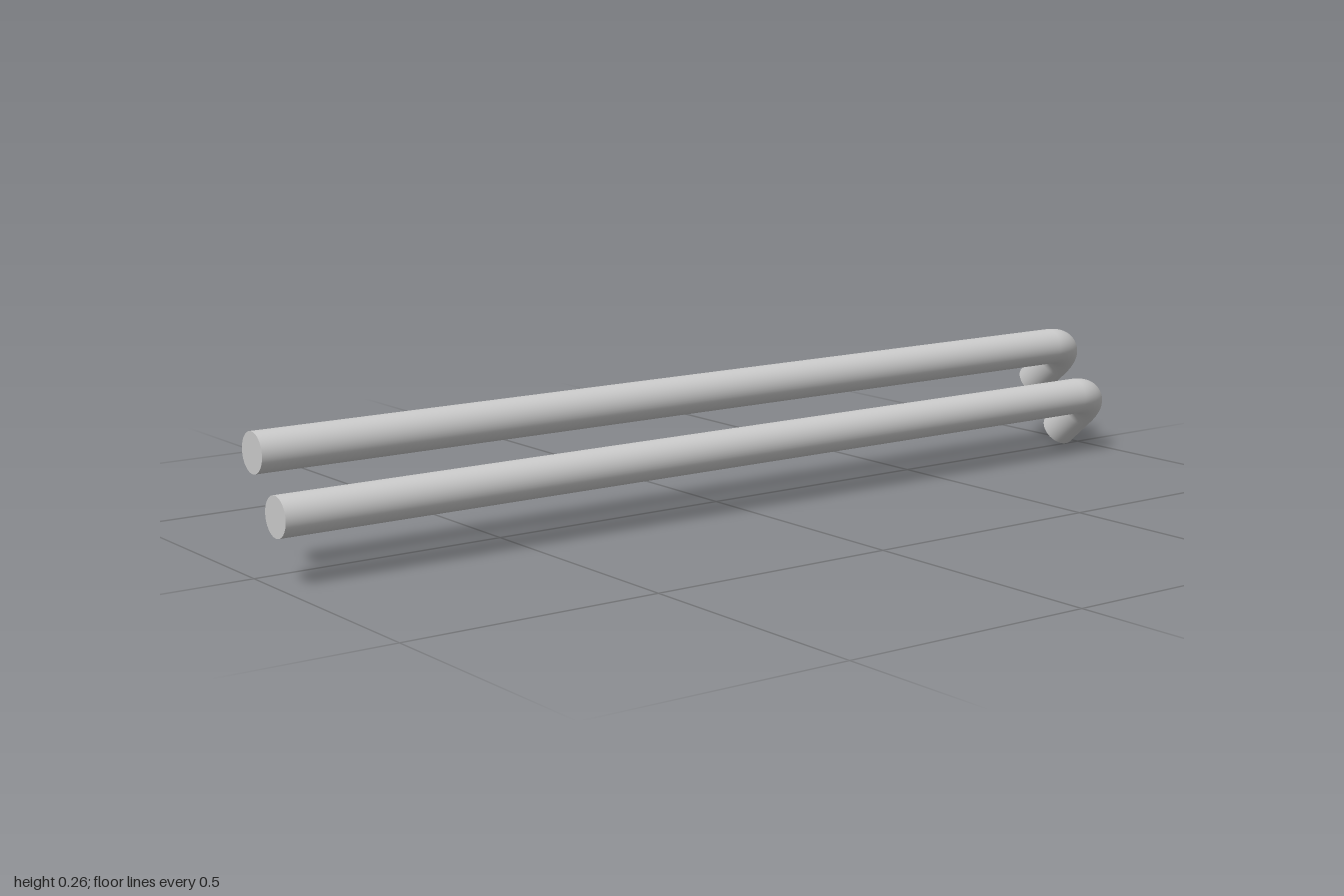
import * as THREE from 'three';
import { mergeGeometries } from 'three/addons/utils/BufferGeometryUtils.js';

const RADIUS = 0.0375, BEND = 0.07, SIDES = 48;
const FRONT = 1, FOOT_Z = -1 + RADIUS, FOOT_END = -0.149;

// One bent rod: shaft along z, quarter bend, short foot towards -x
function rodGeometry() {
  const bendStart = FOOT_Z + BEND;
  const shaftLength = FRONT - bendStart;
  const footLength = -FOOT_END - BEND;

  const shaft = new THREE.CylinderGeometry(RADIUS, RADIUS, shaftLength, SIDES, 1, true)
    .rotateX(Math.PI / 2).translate(0, 0, (FRONT + bendStart) / 2);
  const bend = new THREE.TorusGeometry(BEND, RADIUS, SIDES, 24, Math.PI / 2)
    .rotateX(-Math.PI / 2).translate(-BEND, 0, bendStart);
  const foot = new THREE.CylinderGeometry(RADIUS, RADIUS, footLength, SIDES, 1, true)
    .rotateZ(Math.PI / 2).translate(FOOT_END + footLength / 2, 0, FOOT_Z);

  // Flat end caps
  const frontCap = new THREE.CircleGeometry(RADIUS, SIDES).translate(0, 0, FRONT);
  const footCap = new THREE.CircleGeometry(RADIUS, SIDES)
    .rotateY(-Math.PI / 2).translate(FOOT_END, 0, FOOT_Z);

  return mergeGeometries([shaft, bend, foot, frontCap, footCap]);
}

export function createModel() {
  const model = new THREE.Group();
  model.name = 'bentRods';
  const material = new THREE.MeshStandardMaterial({ color: 0xcccccc });
  const geometry = rodGeometry();

  // Two identical rods, feet tilted down to the same side
  const rods = [['lowerRod', 0.089, 0.127], ['upperRod', 0.01, 0.225]];
  for (const [name, x, y] of rods) {
    const rod = new THREE.Mesh(geometry, material);
    rod.name = name;
    rod.position.set(x, y, 0);
    rod.rotation.z = 0.71;
    model.add(rod);
  }
  return model;
}
